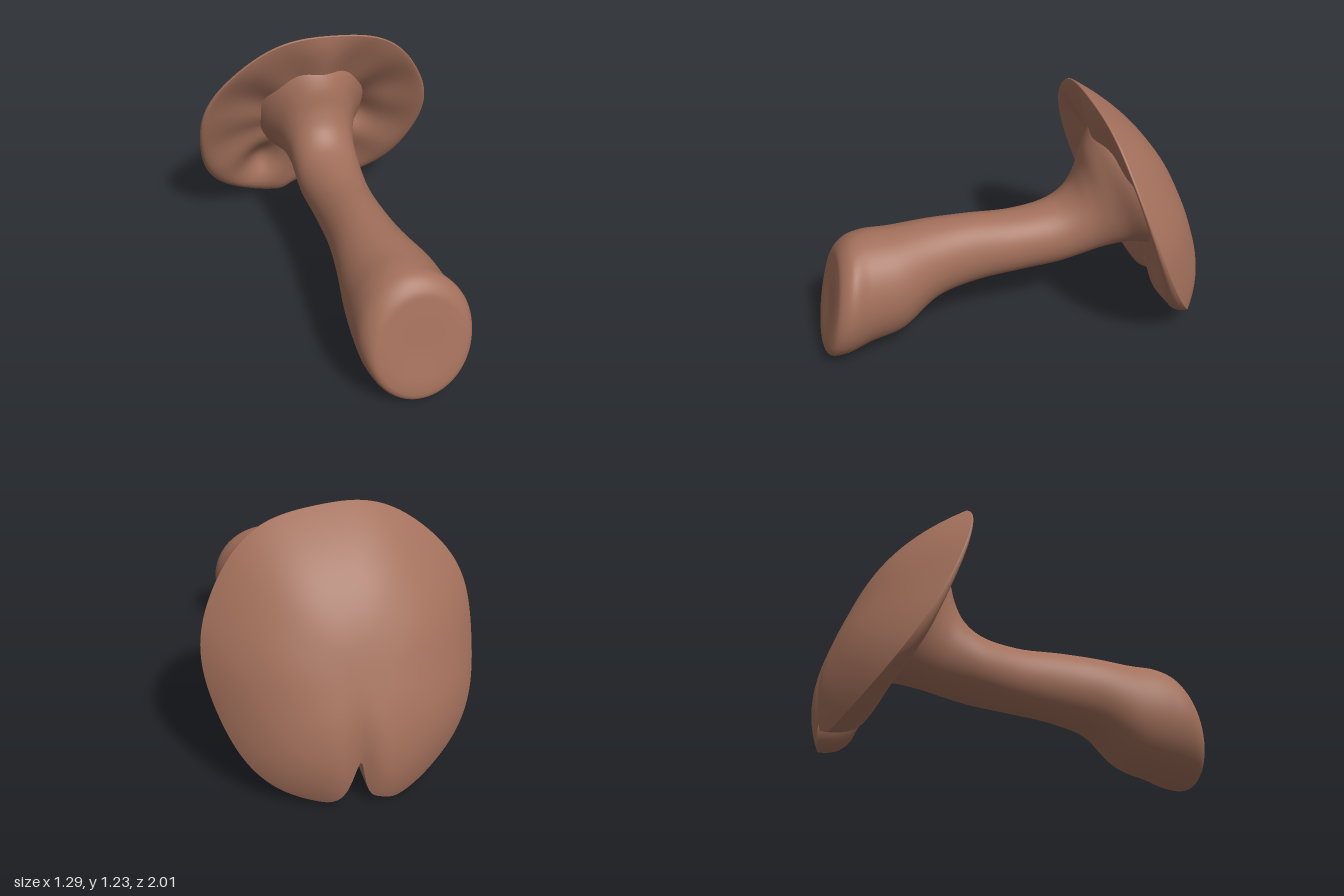
import * as THREE from 'three';
import { mergeVertices } from 'three/addons/utils/BufferGeometryUtils.js';

// Smooth surface from a grid of points, closed around u
function gridGeometry(point, nu, nv) {
  const pos = [], idx = [];
  for (let j = 0; j <= nv; j++)
    for (let i = 0; i < nu; i++) pos.push(...point(i / nu, j / nv));
  for (let j = 0; j < nv; j++)
    for (let i = 0; i < nu; i++) {
      const k = (i + 1) % nu;
      const a = j * nu + i, b = j * nu + k, c = b + nu, d = a + nu;
      if (j > 0) idx.push(a, b, d);
      if (j < nv - 1) idx.push(b, c, d);
    }
  let geo = new THREE.BufferGeometry();
  geo.setAttribute('position', new THREE.Float32BufferAttribute(pos, 3));
  geo.setIndex(idx);
  geo = mergeVertices(geo, 1e-5);
  geo.computeVertexNormals();
  return geo;
}

const gauss = (x, w) => Math.exp(-((x / w) ** 2));
const CAP_Y = 0.61;

// Cap outline without its split
const outline = (a) => 0.64 + 0.01 * Math.cos(2 * a) - 0.008 * Math.sin(a)
  + 0.006 * Math.sin(7 * a + 1) + 0.007 * Math.cos(4 * a + 3.1);

// Tilted dome, split at the bottom edge, with a hollow wavy underside
function capPoint(u, v) {
  const a = u * Math.PI * 2 - Math.PI;
  const t = Math.sin(Math.PI * v);
  const full = outline(a);
  const d = a + Math.PI / 2;
  const edge = full - 0.19 * gauss(d - 0.07, 0.07) - 0.05 * Math.exp(-(((d - 0.02) / 0.2) ** 4));
  const r = t * edge, rho = r / full;
  const x = r * Math.cos(a), y = CAP_Y + r * Math.sin(a);
  const s = 1.2 - y;
  const rim = -0.41 - 0.2 * s - 0.135 * s * s - 0.05 * s ** 4;
  let back = rim - 0.32 * (1 - rho ** 2.6);
  back += 0.04 * gauss(x - 0.035, 0.07) * gauss(y - 0.15, 0.25);
  if (v <= 0.5) return [x, y, back];

  // underside: shallow above the stem, hollow at the sides, with two deeper pits
  const hollow = (0.15 - 0.11 * gauss(a - Math.PI / 2, 0.7)) * (1 - rho ** 3);
  const pits = 0.07 * gauss(x - 0.27, 0.11) * gauss(y - 0.6, 0.12)
    + 0.07 * gauss(x + 0.27, 0.11) * gauss(y - 0.32, 0.12);
  const folds = 0.06 * rho * rho * (1 - rho) * Math.sin(9 * a + 0.6);
  const front = rim + 0.04 + 0.09 * s * s - hollow - pits + folds;
  const thick = Math.max(0.05, front - back);
  return [x, y, back + thick * Math.sqrt(Math.max(0, 1 - t ** 14))];
}

// Stem sections: z, left x, right x, bottom, top, lean of the section in z
const stemSections = [
  [-0.78, 0, 0, 0.55, 0.55, 0],
  [-0.74, -0.33, 0.33, 0.32, 1.02, 0.42],
  [-0.62, -0.29, 0.29, 0.33, 1.02, 0.42],
  [-0.53, -0.22, 0.22, 0.34, 0.93, 0.4],
  [-0.44, -0.185, 0.18, 0.325, 0.80, 0.25],
  [-0.36, -0.18, 0.17, 0.305, 0.70, 0.12],
  [-0.25, -0.18, 0.165, 0.285, 0.63, 0],
  [-0.05, -0.165, 0.15, 0.27, 0.60, 0],
  [0.20, -0.165, 0.155, 0.25, 0.617, 0],
  [0.40, -0.185, 0.19, 0.205, 0.623, 0],
  [0.60, -0.21, 0.265, 0.075, 0.626, 0],
  [0.75, -0.222, 0.285, 0.035, 0.63, -0.05],
  [0.86, -0.22, 0.325, 0.012, 0.615, -0.15],
  [0.925, -0.19, 0.30, 0.012, 0.565, -0.2],
  [0.945, -0.15, 0.255, 0.05, 0.50, -0.24],
  [0.94, 0.05, 0.05, 0.29, 0.29, 0],
];

// One lengthwise curve of the stem for each angle
function stemCurve(a) {
  return new THREE.CatmullRomCurve3(stemSections.map(([z, xl, xr, yb, yt, lean]) => {
    const xc = (xl + xr) / 2, yc = (yb + yt) / 2;
    const x = xc + (xr - xl) / 2 * Math.cos(a);
    const y = yc + (yt - yb) / 2 * Math.sin(a);
    return new THREE.Vector3(x, y, z + lean * (y - yc));
  }));
}

export function createModel() {
  const group = new THREE.Group();
  const brown = new THREE.MeshStandardMaterial({ color: 0xa3705b });
  brown.name = 'mushroom brown';

  const cap = new THREE.Mesh(gridGeometry(capPoint, 240, 80), brown);
  cap.name = 'cap';
  group.add(cap);

  const sides = 64;
  const curves = Array.from({ length: sides }, (_, i) => stemCurve(i / sides * Math.PI * 2));
  const stem = new THREE.Mesh(gridGeometry((u, v) =>
    curves[Math.round(u * sides)].getPoint(v).toArray(), sides, (stemSections.length - 1) * 6), brown);
  stem.name = 'stem';
  group.add(stem);

  return group;
}
